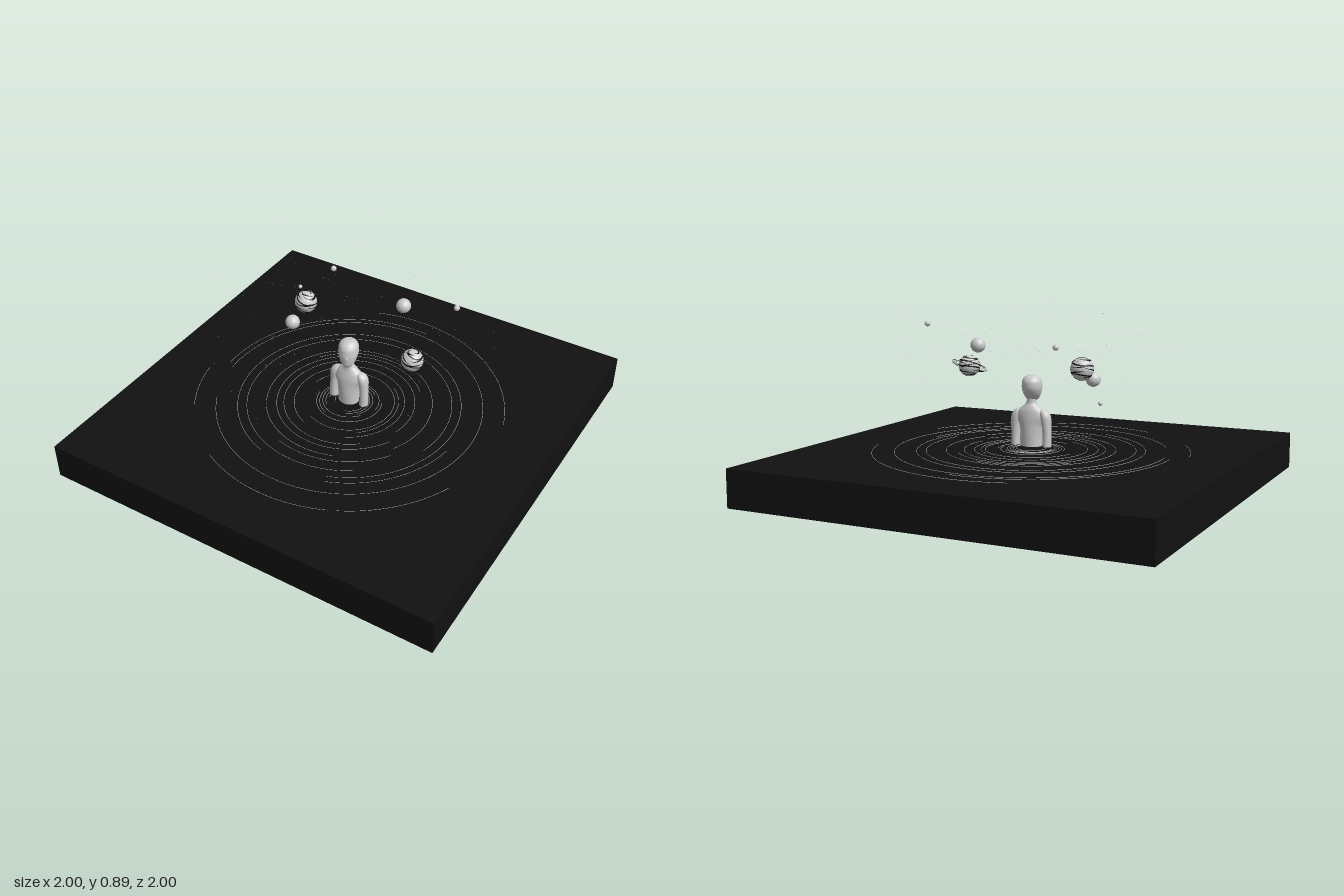
import * as THREE from 'three';
import { mergeGeometries } from 'three/addons/utils/BufferGeometryUtils.js';

const grey = new THREE.MeshStandardMaterial({ color: 0xcccccc });
const dark = new THREE.MeshStandardMaterial({ color: 0x111111, side: THREE.DoubleSide });

function add(parent, name, geometry, material = grey) {
  const mesh = new THREE.Mesh(geometry, material);
  mesh.name = name;
  parent.add(mesh);
  return mesh;
}

function seeded(seed) {
  return () => (seed = (seed * 16807) % 2147483647) / 2147483647;
}

// Smooth elliptical loft; sections run upwards as [x, y, z, rx, rz]
function loft(sections, rows = 32, sides = 32) {
  const centres = new THREE.CatmullRomCurve3(sections.map(s => new THREE.Vector3(s[0], s[1], s[2])));
  const radii = new THREE.CatmullRomCurve3(sections.map(s => new THREE.Vector3(s[3], 0, s[4])));
  const positions = [], index = [];
  const ring = (c, rx, rz) => {
    for (let j = 0; j < sides; j++) {
      const a = (j / sides) * Math.PI * 2;
      positions.push(c.x + rx * Math.cos(a), c.y, c.z + rz * Math.sin(a));
    }
  };
  // flat cap below: centre ring, rim ring, then a second rim for a sharp edge
  const c0 = centres.getPoint(0), r0 = radii.getPoint(0);
  ring(c0, 0, 0);
  ring(c0, r0.x, r0.z);
  for (let i = 0; i <= rows; i++) {
    const r = radii.getPoint(i / rows);
    ring(centres.getPoint(i / rows), Math.max(r.x, 0), Math.max(r.z, 0));
  }
  for (let i = 0; i < rows + 2; i++) {
    if (i === 1) continue;
    for (let j = 0; j < sides; j++) {
      const k = (j + 1) % sides, a = i * sides, b = a + sides;
      index.push(a + j, b + j, a + k, a + k, b + j, b + k);
    }
  }
  const g = new THREE.BufferGeometry();
  g.setAttribute('position', new THREE.Float32BufferAttribute(positions, 3));
  g.setIndex(index);
  g.computeVertexNormals();
  return g;
}

// Wavy dark ribbon lying on a sphere, spiralling slowly in latitude
function stripe(radius, latitude, start, sweep, width) {
  const g = new THREE.PlaneGeometry(1, 1, 48, 2);
  const p = g.attributes.position;
  for (let i = 0; i < p.count; i++) {
    const u = p.getX(i) + 0.5, a = start + u * sweep;
    const taper = Math.sin(Math.PI * u);
    const lat = latitude + 0.09 * Math.sin(a * 2 + latitude * 5) + (u - 0.5) * 0.3 + p.getY(i) * width * taper;
    p.setXYZ(i, radius * Math.cos(lat) * Math.cos(a), radius * Math.sin(lat), radius * Math.cos(lat) * Math.sin(a));
  }
  g.computeVertexNormals();
  return g;
}

function makeFigure() {
  const figure = new THREE.Group();
  figure.name = 'figure';
  add(figure, 'torso', loft([
    [0, 0.198, 0.005, 0.052, 0.046], [0, 0.25, 0.005, 0.053, 0.047], [0, 0.3, 0.004, 0.06, 0.045],
    [0, 0.34, 0.002, 0.075, 0.041], [0, 0.368, 0, 0.066, 0.035], [0, 0.388, 0, 0.043, 0.028],
    [0, 0.402, 0.002, 0.027, 0.024], [-0.002, 0.42, 0.003, 0.023, 0.023], [-0.003, 0.45, 0, 0.022, 0.022],
  ]));
  for (const s of [1, -1]) {
    add(figure, s > 0 ? 'leftArm' : 'rightArm', loft([
      [s * 0.083, 0.198, 0.003, 0.021, 0.025], [s * 0.083, 0.25, 0.002, 0.021, 0.024],
      [s * 0.081, 0.3, 0, 0.022, 0.026], [s * 0.076, 0.34, 0, 0.026, 0.029],
      [s * 0.069, 0.362, 0, 0.024, 0.025], [s * 0.062, 0.375, 0, 0.012, 0.014], [s * 0.058, 0.378, 0, 0, 0],
    ], 24, 24));
  }
  const head = new THREE.Group();
  head.name = 'head';
  head.position.x = -0.006;
  head.rotation.y = 0.35;
  figure.add(head);
  add(head, 'skull', loft([
    [0, 0.412, 0.022, 0.016, 0.016], [0, 0.428, 0.012, 0.032, 0.034], [0, 0.45, 0.001, 0.042, 0.047],
    [0, 0.48, -0.007, 0.049, 0.055], [0, 0.507, -0.01, 0.048, 0.053], [0, 0.526, -0.011, 0.04, 0.042],
    [0, 0.538, -0.011, 0.023, 0.024], [0, 0.542, -0.011, 0, 0],
  ]));
  const nose = add(head, 'nose', new THREE.SphereGeometry(1, 16, 12));
  nose.scale.set(0.007, 0.014, 0.009);
  nose.position.set(0, 0.466, 0.046);
  return figure;
}

function makePlanets() {
  const planets = new THREE.Group();
  planets.name = 'planets';
  // x, y, z, radius, striped
  const list = [
    [-0.31, 0.595, -0.105, 0.054, true], [0.335, 0.565, 0, 0.052, true],
    [-0.32, 0.535, 0, 0.035], [0.175, 0.69, -0.2, 0.035], [-0.26, 0.705, -0.28, 0.014],
    [0.45, 0.78, -0.195, 0.014], [-0.5, 0.48, -0.34, 0.01],
  ];
  list.forEach(([x, y, z, r, striped], n) => {
    const planet = new THREE.Group();
    planet.name = 'planet';
    planet.position.set(x, y, z);
    planets.add(planet);
    add(planet, 'globe', new THREE.SphereGeometry(r, 40, 28));
    if (!striped) return;
    const bands = [];
    for (let i = 0; i < 8; i++) {
      for (let k = 0; k < 2; k++) {
        bands.push(stripe(r * 1.012, -1.15 + i * 0.33, i * 1.3 + n + k * Math.PI, 3.4, 0.13));
      }
    }
    add(planet, 'stripes', mergeGeometries(bands), dark).rotation.z = -0.1;
  });
  // thin dark rings circling the second planet
  const rings = add(planets, 'planetRings', mergeGeometries([0.066, 0.074, 0.081, 0.088].map(
    r => new THREE.TorusGeometry(r, 0.0008, 4, 80).rotateX(Math.PI / 2))), dark);
  rings.position.set(0.335, 0.565, 0);
  rings.rotation.set(0.45, 0, 0.06);
  return planets;
}

// Fine arcs spreading over the water surface
function makeRipples() {
  const rand = seeded(17);
  const arcs = [];
  const arc = (r, start, sweep, y, tube) => arcs.push(
    new THREE.TorusGeometry(r, tube, 4, Math.ceil(24 + sweep * 16), sweep)
      .rotateX(-Math.PI / 2).rotateY(start).translate(0, y, 0));
  const full = Math.PI * 2;
  for (let i = 0; i < 7; i++) arc(0.07 + i * 0.015, rand() * full, 3 + rand() * 3.2, 0.181 + rand() * 0.005, 0.0012);
  for (const r of [0.22, 0.27, 0.32, 0.355, 0.405, 0.5, 0.545, 0.65]) arc(r, rand() * full, 5 + rand() * 1.2, 0.181, 0.001);
  for (const r of [0.24, 0.38, 0.44, 0.58, 0.68]) arc(r, rand() * full, 1 + rand(), 0.181, 0.001);
  // broken outermost ring
  for (const [start, sweep] of [[-1.1, 0.7], [-2.05, 0.9], [-2.95, 0.4], [0.3, 1.6]]) arc(0.755, start, sweep, 0.181, 0.001);
  return mergeGeometries(arcs);
}

// Tiny specks scattered in the air
function makeStars() {
  const rand = seeded(91);
  const specks = [];
  for (let i = 0; i < 90; i++) {
    const a = rand() * Math.PI * 2, r = 0.15 + 0.6 * rand();
    specks.push(new THREE.OctahedronGeometry(0.0018).translate(
      r * Math.cos(a), 0.5 + 0.35 * (rand() + rand()) / 1.8, r * Math.sin(a)));
  }
  return mergeGeometries(specks);
}

export function createModel() {
  const model = new THREE.Group();
  model.name = 'figureAmongPlanets';
  add(model, 'waterSlab', new THREE.BoxGeometry(2, 0.18, 2), dark).position.y = 0.09;
  model.add(makeFigure(), makePlanets());
  add(model, 'ripples', makeRipples());
  add(model, 'stars', makeStars());
  return model;
}
